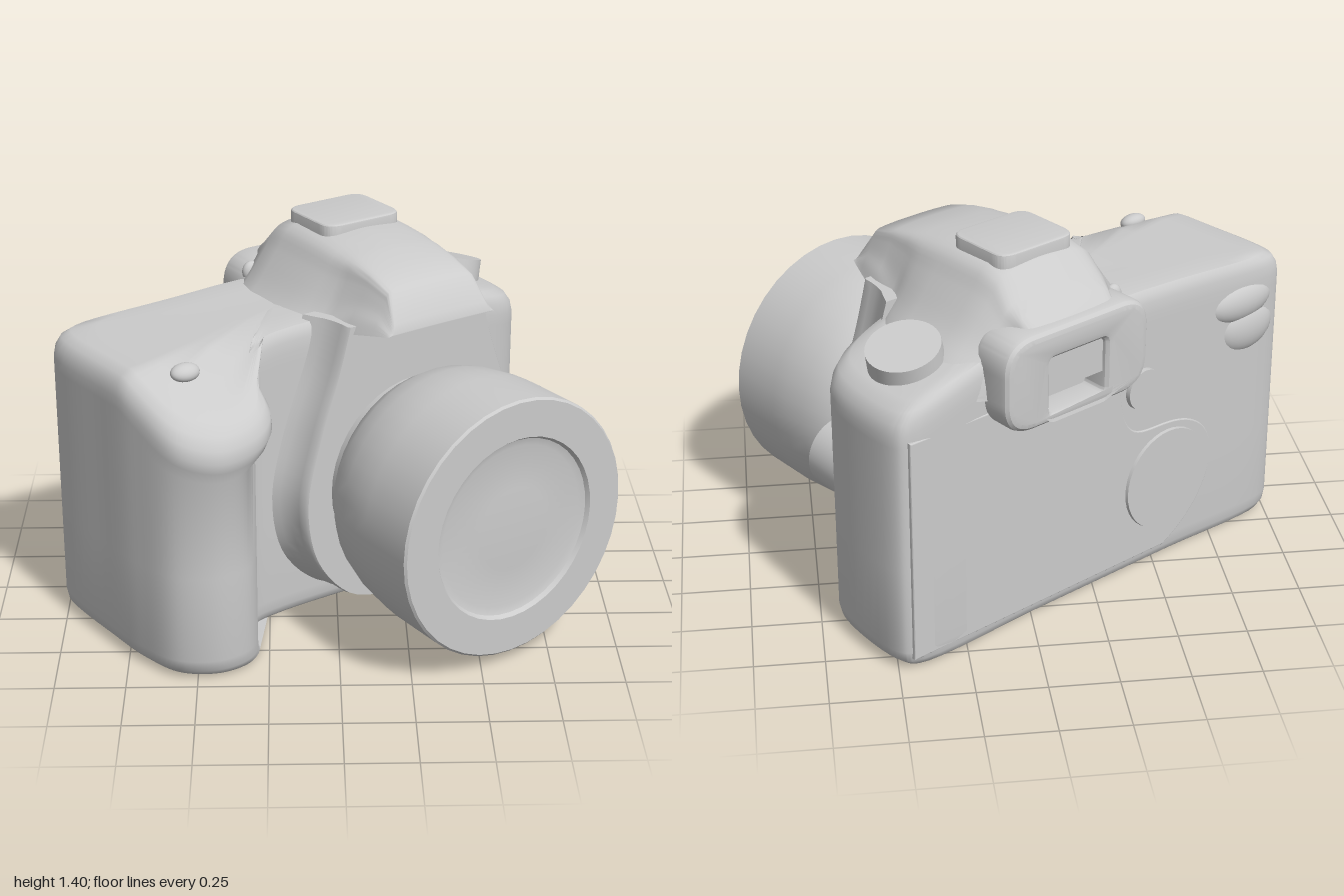
import * as THREE from 'three';
import { toCreasedNormals } from 'three/addons/utils/BufferGeometryUtils.js';

const material = new THREE.MeshStandardMaterial({ color: 0xcccccc });
const CX = 0.19; // the lens and viewfinder share this centre line
const { smoothstep } = THREE.MathUtils;

// Skin a list of equally long closed rings and fan both ends shut
function loft(rings) {
  const n = rings[0].length, pos = [], idx = [];
  const add = (p) => { pos.push(p.x, p.y, p.z); return pos.length / 3 - 1; };
  const middle = (ring) => ring.reduce((s, p) => s.add(p), new THREE.Vector3()).divideScalar(n);
  rings.forEach((ring) => ring.forEach(add));
  const first = add(middle(rings[0])), last = add(middle(rings[rings.length - 1]));
  const end = (rings.length - 1) * n;
  for (let i = 0; i < n; i++) {
    const j = (i + 1) % n;
    for (let r = 0; r < end; r += n) idx.push(r + i, r + j, r + n + j, r + i, r + n + j, r + n + i);
    idx.push(first, j, i, last, end + i, end + j);
  }
  const g = new THREE.BufferGeometry();
  g.setAttribute('position', new THREE.Float32BufferAttribute(pos, 3));
  g.setIndex(idx);
  return toCreasedNormals(g, 0.75);
}

// Height of the top plate: falls to both sides and down over the grip
function topHeight(x, z) {
  let h = 1.13;
  if (x > 0.38) h -= (x - 0.38) * 0.25;
  if (x < -0.2) h += (x + 0.2) * 0.05;
  return h - Math.max(0, z - 0.03) * 0.5 * smoothstep(-x, 0.3, 0.5);
}

// Body with hand grip, one plan outline lofted upwards
function bodyGeometry() {
  const plan = [[0.84, -0.46], [0.3, -0.465], [-0.4, -0.468], [-0.88, -0.47], [-0.922, -0.43], [-0.925, -0.1],
    [-0.91, 0.1], [-0.86, 0.27], [-0.74, 0.355], [-0.61, 0.35], [-0.53, 0.28], [-0.505, 0.18], [-0.44, 0.11],
    [-0.3, 0.085], [0.3, 0.085], [0.72, 0.045], [0.83, -0.02], [0.87, -0.12], [0.875, -0.42]];
  const outline = new THREE.CatmullRomCurve3(plan.map(([x, z]) => new THREE.Vector3(x, 0, z)), true)
    .getPoints(140).slice(0, -1);
  const mid = new THREE.Vector3(-0.15, 0, -0.18);
  // [inset scale, y measured from the bottom or from the top, from top?, grip lip bulge]
  const levels = [[0.5, 0, 0, 0], [0.92, 0, 0, 0], [0.965, 0.012, 0, 0], [0.99, 0.035, 0, 0], [1, 0.075, 0, 0],
    [1, 0.4, 0, 0], [1, -0.18, 1, 0], [1, -0.13, 1, 0.04], [1, -0.09, 1, 0.055], [0.99, -0.05, 1, 0.05],
    [0.965, -0.02, 1, 0.03], [0.92, -0.004, 1, 0.01], [0.8, 0, 1, 0], [0.55, 0, 1, 0], [0.25, 0, 1, 0]];
  return loft(levels.map(([s, dy, fromTop, bulge]) => outline.map((p) => {
    const q = p.clone().lerp(mid, 1 - s);
    q.x += bulge * smoothstep(p.z, 0.1, 0.18) * smoothstep(p.x, -0.7, -0.53);
    q.z += bulge * 0.45 * smoothstep(p.z, 0.15, 0.3);
    q.y = fromTop ? topHeight(q.x, q.z) + dy : dy;
    return q;
  })));
}

// Viewfinder hump: flared sections from the rear to the overhanging front lip
function humpGeometry() {
  // z, base y, top y, half width at base, half width at top
  const sections = [[-0.56, 0.95, 1.17, 0.24, 0.18], [-0.5, 0.95, 1.23, 0.28, 0.19], [-0.45, 0.97, 1.27, 0.44, 0.18],
    [-0.385, 0.95, 1.35, 0.5, 0.16], [-0.3, 0.95, 1.37, 0.52, 0.158], [-0.1, 0.95, 1.365, 0.51, 0.158],
    [0, 0.96, 1.355, 0.47, 0.165], [0.06, 0.98, 1.345, 0.395, 0.17], [0.1, 1.02, 1.338, 0.34, 0.175],
    [0.2, 1.11, 1.315, 0.29, 0.175], [0.31, 1.13, 1.28, 0.255, 0.175], [0.37, 1.14, 1.18, 0.235, 0.2],
    [0.385, 1.145, 1.15, 0.23, 0.21]];
  return loft(sections.map(([z, y0, y1, wb, wt]) => {
    const side = [[1, 0], [0.78, 0.25], [0.5, 0.48], [0.25, 0.76], [0.09, 0.94], [-0.3, 1]]
      .map(([f, g]) => [wt + (wb - wt) * f, y0 + (y1 - y0) * g]);
    const pts = [...side, ...side.map(([x, y]) => [-x, y]).reverse()];
    return new THREE.CatmullRomCurve3(pts.map(([x, y]) => new THREE.Vector3(CX + x, y, z))).getPoints(48);
  }));
}

// Lens housing: mirrored outline whose flanks flare into the body
function housingGeometry() {
  const half = [[0.12, 0.045], [0.3, 0.1], [0.44, 0.27], [0.48, 0.5], [0.425, 0.74], [0.345, 0.97], [0.295, 1.145]];
  const right = new THREE.SplineCurve(half.map(([x, y]) => new THREE.Vector2(x, y))).getPoints(30);
  const outline = [...right, ...right.map((p) => new THREE.Vector2(-p.x, p.y)).reverse()];
  return loft([[0.03, 1.2], [0.08, 1.12], [0.11, 1.065], [0.15, 1.025], [0.19, 1.005], [0.225, 1], [0.235, 0.98]]
    .map(([z, f]) => outline.map((p) => new THREE.Vector3(CX + p.x * f, p.y, z))));
}

function extrude(shape, depth, bevel, crease = 0.4) {
  const g = new THREE.ExtrudeGeometry(shape, { depth, bevelEnabled: true, bevelThickness: bevel, bevelSize: bevel,
    bevelOffset: -bevel, bevelSegments: 3, curveSegments: 20 });
  return toCreasedNormals(g, crease);
}

function roundedRect(w, y0, y1, r, Type = THREE.Shape) {
  const s = new Type();
  s.moveTo(-w + r, y0);
  s.lineTo(w - r, y0);
  s.quadraticCurveTo(w, y0, w, y0 + r);
  s.lineTo(w, y1 - r);
  s.quadraticCurveTo(w, y1, w - r, y1);
  s.lineTo(-w + r, y1);
  s.quadraticCurveTo(-w, y1, -w, y1 - r);
  s.lineTo(-w, y0 + r);
  s.quadraticCurveTo(-w, y0, -w + r, y0);
  return s;
}

export function createModel() {
  const camera = new THREE.Group();
  camera.name = 'camera';
  const part = (name, geometry, x = 0, y = 0, z = 0) => {
    const m = new THREE.Mesh(geometry, material);
    m.name = name;
    m.position.set(x, y, z);
    camera.add(m);
    return m;
  };
  const disc = (r, h) => toCreasedNormals(new THREE.CylinderGeometry(r * 0.97, r, h, 40), 0.6);
  const blob = (name, x, y, z, ...size) => {
    const m = part(name, new THREE.SphereGeometry(1, 24, 16), x, y, z);
    m.scale.set(...size);
    return m;
  };

  part('body', bodyGeometry());
  part('viewfinderHump', humpGeometry());
  part('lensHousing', housingGeometry());

  // Lens barrel, slightly taller than wide, with a shallow domed front
  const profile = [[0.36, 0.18], [0.365, 0.27], [0.4, 0.3], [0.435, 0.36], [0.457, 0.44], [0.47, 0.53], [0.475, 0.6],
    [0.475, 0.827], [0.467, 0.835], [0.336, 0.835], [0.326, 0.82], [0.3, 0.812], [0.15, 0.82], [0, 0.823]];
  const lens = new THREE.LatheGeometry(profile.map(([r, y]) => new THREE.Vector2(r, y)), 40);
  lens.rotateX(Math.PI / 2).scale(1, 1.02, 1);
  part('lens', toCreasedNormals(lens, 0.6), 0.183, 0.527, 0);

  // Release knob beside the lens
  part('lensReleaseKnob', disc(0.138, 0.24), 0.645, 0.522, 0.085).rotation.x = Math.PI / 2;

  // Eyepiece frame with a sunken window
  const frame = roundedRect(0.325, 0.84, 1.195, 0.13);
  frame.holes.push(roundedRect(0.125, 0.875, 1.08, 0.02, THREE.Path));
  part('eyepiece', extrude(frame, 0.12, 0.03), 0.195, 0, -0.555);

  // Accessory shoe, a rounded plate on the hump
  const shoe = extrude(roundedRect(0.165, -0.14, 0.14, 0.06), 0.1, 0.01);
  shoe.rotateX(-Math.PI / 2);
  part('accessoryShoe', shoe, 0.195, 1.287, -0.235);

  // Top controls
  part('modeDial', disc(0.135, 0.09), 0.67, 1.08, -0.235).rotation.set(-0.12, 0, -0.28);
  blob('shutterButton', -0.7, 1.075, 0.11, 0.055, 0.03, 0.038).rotation.x = 0.4;
  blob('diopterKnob', -0.085, 1.15, -0.44, 0.035, 0.04, 0.025);

  // Back panel with its curved edge, wheel, button and thumb rest
  const panel = new THREE.Shape();
  panel.moveTo(0.84, 0.05);
  panel.lineTo(0.84, 0.9);
  panel.lineTo(-0.1, 0.9);
  panel.bezierCurveTo(-0.1, 0.45, -0.24, 0.62, -0.44, 0.55);
  panel.bezierCurveTo(-0.66, 0.47, -0.6, 0.18, -0.34, 0.05);
  part('backPanel', extrude(panel, 0.03, 0.005, 0.2), 0, 0, -0.469);
  part('controlWheel', disc(0.205, 0.04), -0.34, 0.34, -0.466).rotation.x = -Math.PI / 2;
  part('backButton', disc(0.08, 0.04), -0.215, 0.75, -0.466).rotation.x = -Math.PI / 2;
  blob('thumbRest', -0.71, 0.94, -0.45, 0.16, 0.08, 0.055);
  blob('thumbRest', -0.74, 0.83, -0.45, 0.14, 0.1, 0.055);

  // Strap lug on the grip side
  const lug = part('strapLug', new THREE.CapsuleGeometry(0.035, 0.17, 6, 16), -0.875, 1.035, -0.2);
  lug.rotation.x = Math.PI / 2;

  // The whole camera is turned towards its left
  camera.rotation.y = 0.579;
  const model = new THREE.Group();
  model.name = 'model';
  model.add(camera);
  return model;
}
